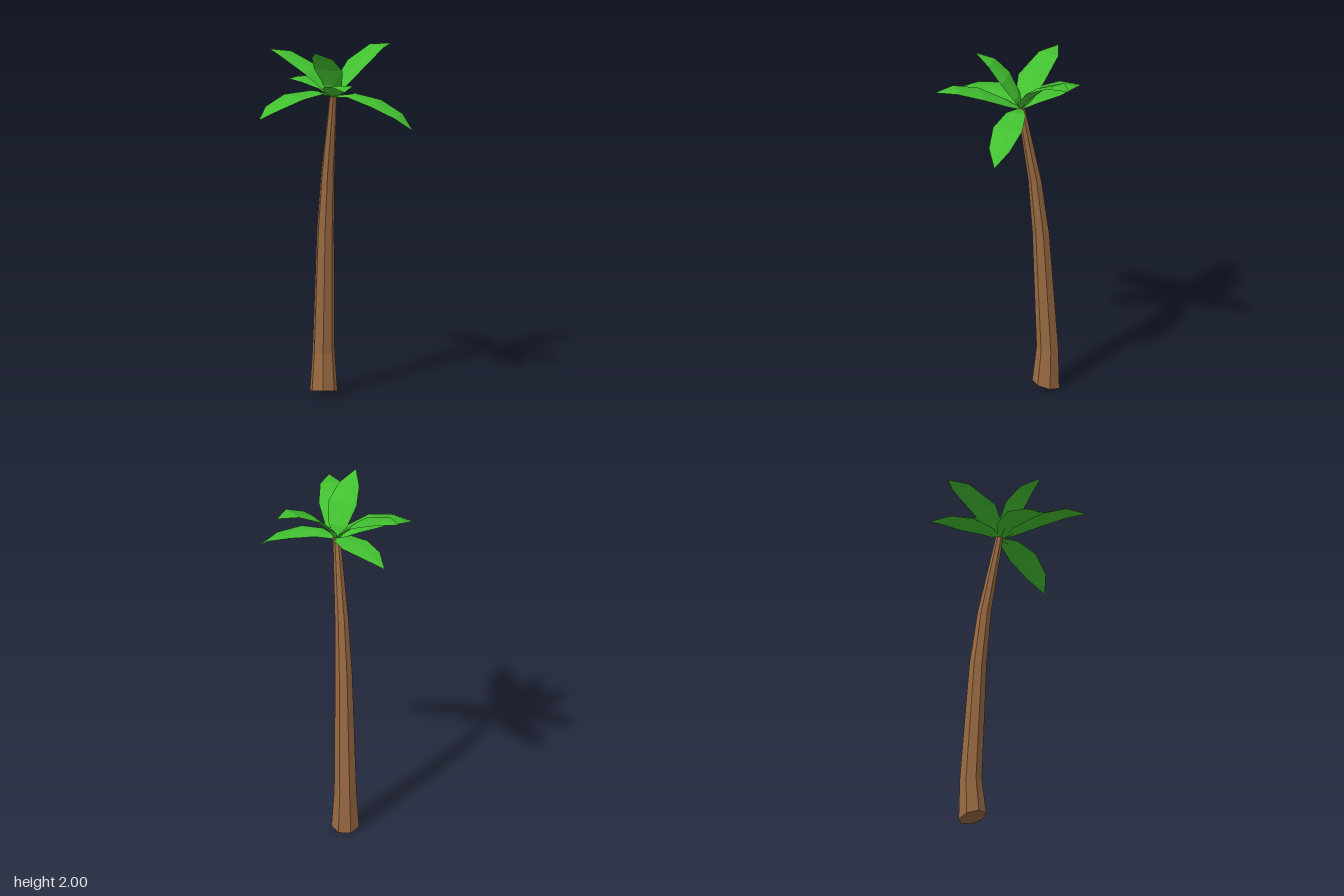
import * as THREE from 'three';

const V = (x, y, z) => new THREE.Vector3(x, y, z);

// Closed solid through a list of rings with equal point counts
function loft(rings) {
  const pos = [];
  const tri = (a, b, c) => {
    const area = b.clone().sub(a).cross(c.clone().sub(a)).length();
    if (area > 1e-8) for (const p of [a, b, c]) pos.push(p.x, p.y, p.z);
  };
  const middle = ring => ring.reduce((m, p) => m.add(p), V(0, 0, 0)).divideScalar(ring.length);
  const n = rings[0].length, last = rings[rings.length - 1];
  const low = middle(rings[0]), high = middle(last);
  for (let j = 0; j < n; j++) {
    const k = (j + 1) % n;
    for (let i = 0; i < rings.length - 1; i++) {
      const a = rings[i], b = rings[i + 1];
      tri(a[j], b[j], a[k]);
      tri(a[k], b[j], b[k]);
    }
    tri(low, rings[0][j], rings[0][k]);
    tri(high, last[k], last[j]);
  }
  const geo = new THREE.BufferGeometry();
  geo.setAttribute('position', new THREE.Float32BufferAttribute(pos, 3));
  geo.computeVertexNormals();
  return geo;
}

// Leaning, tapering trunk: centre x, y, z and radius of each ring
function trunkGeometry() {
  const sections = [
    [0.122, 0.02, -0.135, 0.077],
    [0.128, 0.24, -0.141, 0.062],
    [0.108, 0.93, -0.108, 0.048],
    [0.092, 1.25, -0.076, 0.038],
    [0.055, 1.71, 0.0, 0.021],
  ];
  const sides = 7;
  return loft(sections.map(([x, y, z, r], i) =>
    Array.from({ length: sides }, (_, j) => {
      const a = (j / sides) * Math.PI * 2 - 0.26;
      const dx = r * Math.cos(a), dz = r * Math.sin(a);
      const tilt = i === 0 ? (dz - dx) * 0.18 : 0; // uneven foot
      return V(x + dx, y + tilt, z + dz);
    })));
}

// Leaf: lens-shaped sections along a bent midrib
const widths = [0.012, 0.055, 0.083, 0.06, 0];
const thickness = [0.006, 0.009, 0.009, 0.006, 0];
function leafGeometry(points) {
  const rib = [[0.055, 1.7, 0], ...points].map(p => V(...p));
  const tip = rib[rib.length - 1];
  const side = tip.clone().sub(rib[0]).cross(V(0, 1, 0)).normalize();
  return loft(rib.map((p, i) => {
    const along = rib[Math.min(i + 1, 4)].clone().sub(rib[Math.max(i - 1, 0)]);
    const up = side.clone().cross(along).normalize();
    const at = (s, u) => p.clone().addScaledVector(side, s * widths[i]).addScaledVector(up, u * thickness[i]);
    return [at(1, 0), at(0, 0.8), at(-1, 0), at(0, -1)];
  }));
}

// Midribs from the crown outward
const leaves = {
  leftLeaf: [[0.09, 1.76, 0.012], [0.2, 1.87, 0.04], [0.34, 1.94, 0.055], [0.445, 1.94, 0.068]],
  rightLeaf: [[-0.04, 1.735, -0.033], [-0.205, 1.735, -0.053], [-0.353, 1.695, -0.073], [-0.45, 1.645, -0.082]],
  frontLeftLeaf: [[0.095, 1.715, 0.095], [0.143, 1.685, 0.228], [0.19, 1.625, 0.357], [0.218, 1.55, 0.437]],
  frontRightLeaf: [[0.005, 1.74, 0.06], [-0.088, 1.805, 0.165], [-0.18, 1.845, 0.278], [-0.252, 1.84, 0.368]],
  backLeaf: [[0.045, 1.75, -0.04], [0.025, 1.83, -0.13], [0.002, 1.9, -0.307], [-0.015, 1.91, -0.41]],
  backLeftLeaf: [[0.078, 1.735, -0.07], [0.105, 1.75, -0.19], [0.117, 1.742, -0.325], [0.124, 1.7, -0.438]],
  topLeaf: [[0.035, 1.77, 0.012], [-0.025, 1.87, 0.036], [-0.1, 1.95, 0.06], [-0.187, 2.0, 0.095]],
};

export function createModel() {
  const model = new THREE.Group();
  model.name = 'palmTree';
  const bark = new THREE.MeshStandardMaterial({ color: 0x9a6a42, flatShading: true });
  const green = new THREE.MeshStandardMaterial({ color: 0x42c030, flatShading: true });
  const add = (name, geo, mat) => {
    const mesh = new THREE.Mesh(geo, mat);
    mesh.name = name;
    model.add(mesh);
  };
  add('trunk', trunkGeometry(), bark);
  for (const [name, points] of Object.entries(leaves)) add(name, leafGeometry(points), green);
  return model;
}
